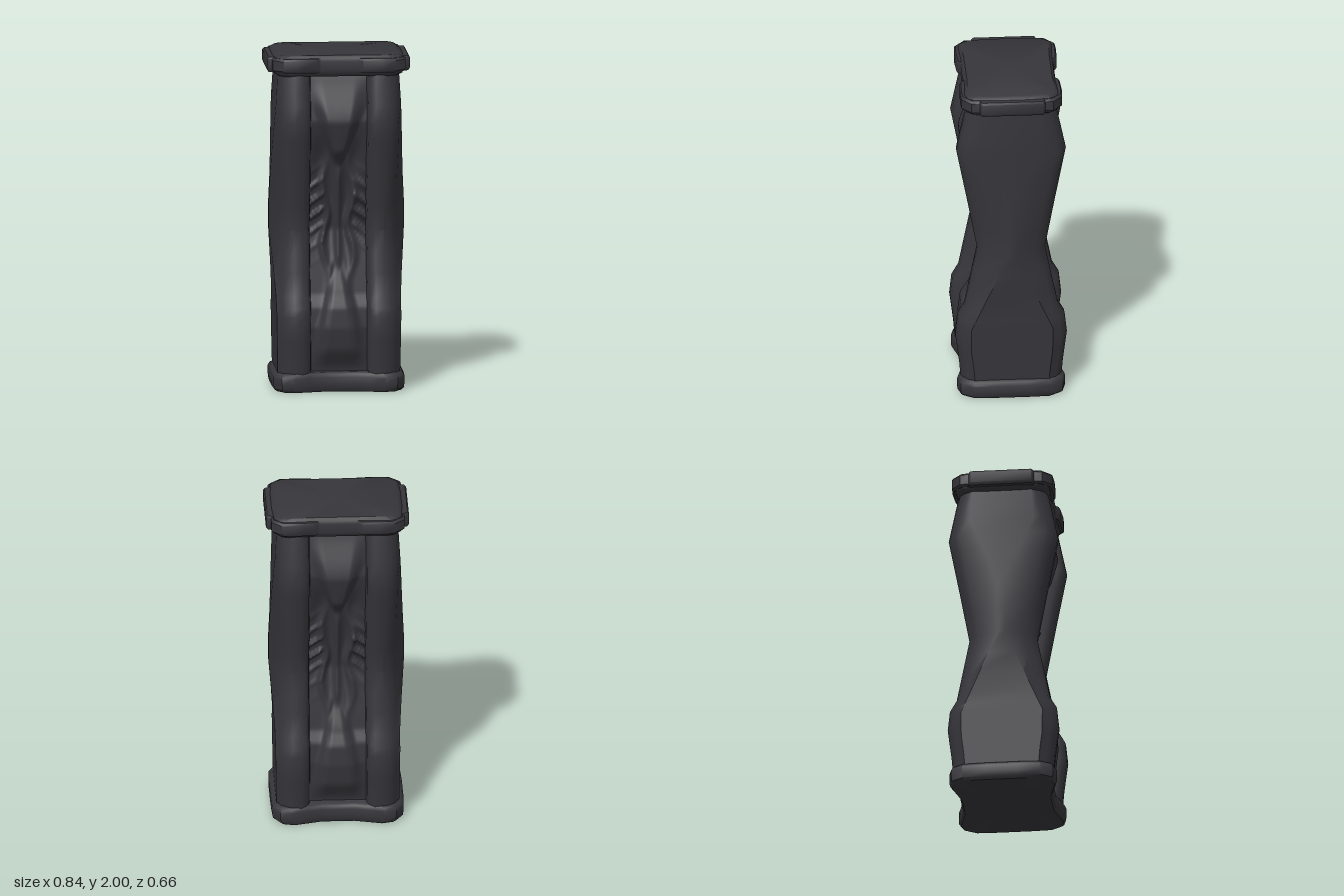
import * as THREE from 'three';
import { toCreasedNormals } from 'three/addons/utils/BufferGeometryUtils.js';

// Piecewise-linear lookup in [y, value] pairs
function lookup(table, y) {
  for (let i = 1; i < table.length; i++) {
    const [y0, v0] = table[i - 1], [y1, v1] = table[i];
    if (y <= y1) return THREE.MathUtils.lerp(v0, v1, Math.max(0, (y - y0) / (y1 - y0)));
  }
  return table[table.length - 1][1];
}

const smooth = THREE.MathUtils.smoothstep;
const bump = (v, centre, width) => Math.exp(-(((v - centre) / width) ** 2));

// Mirror a quarter outline (front middle to side middle) into a closed ring
function fullRing(quarter) {
  const back = [...quarter].reverse();
  return [
    ...quarter,
    ...back.map(([x, z]) => [x, -z]),
    ...quarter.map(([x, z]) => [-x, -z]),
    ...back.map(([x, z]) => [-x, z]),
  ];
}

// Skin a stack of quarter sections, with closed ends
function loft(sections, crease) {
  const pos = [], index = [];
  const rings = sections.map((s) => fullRing(s.quarter));
  const n = rings[0].length, last = rings.length - 1;
  rings.forEach((ring, j) => ring.forEach(([x, z]) => pos.push(x, sections[j].y, z)));
  pos.push(0, sections[0].y, 0, 0, sections[last].y, 0);
  const bottom = n * rings.length, top = bottom + 1;
  for (let i = 0; i < n; i++) {
    const k = (i + 1) % n;
    for (let j = 0; j < last; j++) {
      const a = j * n + i, b = j * n + k;
      index.push(a, b, b + n, a, b + n, a + n);
    }
    index.push(bottom, k, i, top, last * n + i, last * n + k);
  }
  const geo = new THREE.BufferGeometry();
  geo.setAttribute('position', new THREE.Float32BufferAttribute(pos, 3));
  geo.setIndex(index);
  return toCreasedNormals(geo, crease);
}

// Pillar profiles over height: depth, side bulge and width of the flat side face
const DEPTH = [[0.08, 0.295], [0.2, 0.305], [0.38, 0.328], [0.5, 0.315], [0.57, 0.275],
  [0.95, 0.2], [1.25, 0.255], [1.6, 0.322], [1.85, 0.27], [1.92, 0.25]];
const SIDE = [[0.08, 0.36], [0.6, 0.368], [1, 0.402], [1.3, 0.388], [1.6, 0.374], [1.92, 0.355]];
const FLAT = [[0.08, 0.235], [0.45, 0.24], [0.95, 0.02], [1.3, 0.025], [1.7, 0.19], [1.92, 0.17]];

function bodySection(y) {
  const d = lookup(DEPTH, y), s = lookup(SIDE, y), f = Math.min(lookup(FLAT, y), d - 0.08);
  const pinch = 0.015 * bump(y, 1, 0.3);
  return { y, quarter: [
    [0.155, d - 0.16], [0.17, d - 0.045], [0.185, d - 0.018], [0.215, d - 0.002], [0.265, d],
    [0.305 - pinch, d - 0.014], [0.335 - pinch, d - 0.04], [0.35 - pinch, d - 0.07], [s, f],
  ] };
}

// Sculpted depth of the recessed panel
function panelDepth(x, y) {
  const a = Math.abs(x);
  let z = lookup(DEPTH, y) - 0.085 - 0.015 * bump(y, 1.15, 0.25);
  // funnel-shaped upper bulge narrowing to the neck
  const half = lookup([[1.32, 0.015], [1.5, 0.08], [1.7, 0.15], [1.9, 0.19]], y);
  z += 0.055 * smooth(y, 1.32, 1.44) * (1 - smooth(a, half * 0.5, half * 1.15)) * (1 - smooth(y, 1.6, 1.9));
  // shadowed hollows beside and below the neck
  z -= 0.03 * bump(a, 0.1, 0.05) * bump(y, 1.38, 0.12);
  z -= 0.02 * bump(a, 0.05, 0.03) * bump(y, 1.1, 0.25);
  // thin middle stream
  z += 0.022 * bump(x, 0, 0.016) * smooth(y, 0.7, 0.8) * (1 - smooth(y, 1.25, 1.36));
  // wavy curtains running down either side
  const fold = 0.075 + 0.018 * Math.sin(y * 17 + Math.sign(x) * 0.5);
  z += 0.04 * bump(a, fold, 0.02) * bump(y, 1.02, 0.27);
  // slanting ribs
  const rib = Math.max(0, Math.sin((y + 0.7 * a) * 68));
  z += 0.034 * rib * smooth(a, 0.07, 0.11) * bump(y, 1.08, 0.16);
  // spreading lower mound, tucked in at its foot
  const spread = lookup([[0.1, 0.19], [0.4, 0.13], [0.75, 0.02]], y);
  const low = 1 - smooth(y, 0.55, 0.76);
  z += 0.05 * low * (1 - smooth(a, spread * 0.4, spread * 1.1)) * smooth(y, 0.12, 0.27);
  z += 0.008 * bump(a, 0.03 + (0.8 - y) * 0.15, 0.015) * smooth(y, 0.25, 0.4) * (1 - smooth(y, 0.7, 0.85));
  return z;
}

function panelGeometry() {
  const geo = new THREE.PlaneGeometry(0.38, 1.84, 44, 130);
  geo.translate(0, 1, 0);
  const p = geo.attributes.position;
  for (let i = 0; i < p.count; i++) p.setZ(i, panelDepth(p.getX(i), p.getY(i)));
  geo.computeVertexNormals();
  return geo;
}

// Slab with softened edges from a quarter outline and [y, scale] steps
function slab(outline, steps) {
  return loft(steps.map(([y, k]) => ({ y, quarter: outline.map(([x, z]) => [x * k, z * k]) })), 0.7);
}

export function createModel() {
  const stone = new THREE.MeshStandardMaterial({ color: 0x36363b });
  stone.name = 'charcoal stone';
  const model = new THREE.Group();
  model.name = 'pillar';
  const add = (name, geo) => {
    const mesh = new THREE.Mesh(geo, stone);
    mesh.name = name;
    model.add(mesh);
    return mesh;
  };

  // Waisted body with four rounded corner posts
  const heights = [0.08, 0.2, 0.3, 0.38, 0.45, 0.5, 0.57, 0.7, 0.82, 0.95, 1.1, 1.25, 1.4, 1.5, 1.6, 1.7, 1.85, 1.92];
  add('body', loft(heights.map(bodySection), 0.6));

  // Sculpted panels between the posts
  const panel = panelGeometry();
  add('frontPanel', panel);
  add('backPanel', panel).rotation.y = Math.PI;

  // Base with a pinched front and back
  add('base', slab(
    [[0.1, 0.275], [0.18, 0.295], [0.27, 0.318], [0.34, 0.3], [0.385, 0.23], [0.39, 0.1]],
    [[0.005, 0.95], [0.02, 0.99], [0.05, 1], [0.09, 1], [0.11, 0.97], [0.12, 0.92]]));

  // Top slab, nearly rectangular with cut corners
  add('cap', slab(
    [[0.15, 0.272], [0.31, 0.28], [0.35, 0.268], [0.38, 0.23], [0.39, 0.1]],
    [[1.875, 0.92], [1.89, 0.98], [1.91, 1], [1.965, 1], [1.985, 0.98], [2, 0.92]]));

  // Low clasps wrapping the cap's corners, and blocks on its ends
  add('cornerClasps', slab(
    [[0.1, 0.262], [0.14, 0.294], [0.25, 0.3], [0.33, 0.296], [0.39, 0.242], [0.392, 0.19]],
    [[1.9, 0.97], [1.912, 1], [1.97, 1], [1.984, 0.97]]));
  add('endBlocks', slab(
    [[0.38, 0.195], [0.412, 0.188], [0.42, 0.178]],
    [[1.895, 0.98], [1.91, 1], [1.972, 1], [1.984, 0.98]]));
  return model;
}
